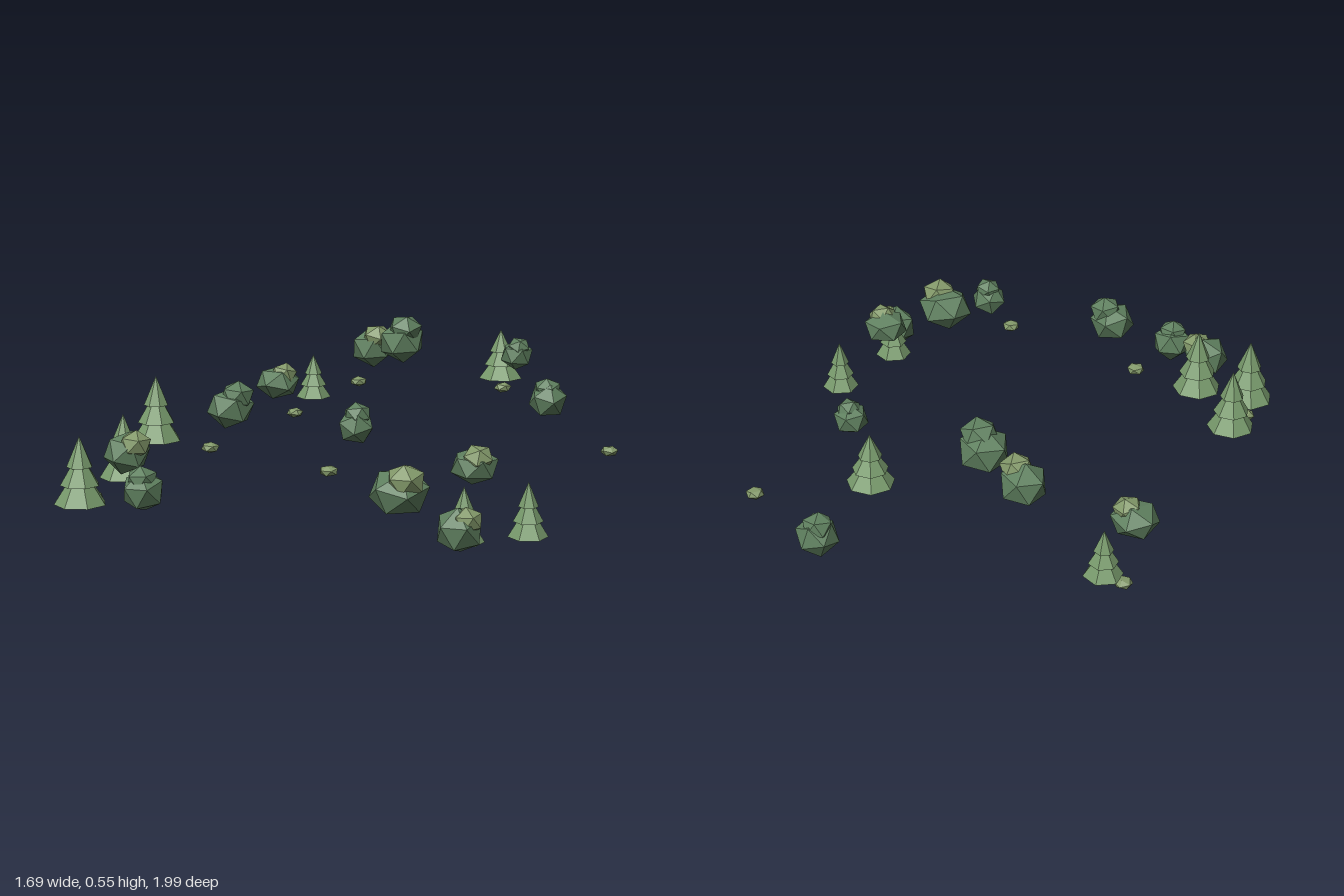
import * as THREE from 'three';

const mat = (color) => new THREE.MeshStandardMaterial({ color, flatShading: true });
const leaf = mat(0x5f805f), lightLeaf = mat(0x83996a), needle = mat(0x789a6c);

// Faceted blob of foliage, tilted by its index then squashed vertically
function blob(name, x, y, z, r, squash, i, material) {
  const geo = new THREE.IcosahedronGeometry(r, 0);
  geo.rotateX(0.55 + 0.37 * (i % 3)).rotateY(i * 1.3).scale(1, squash, 1);
  const mesh = new THREE.Mesh(geo, material);
  mesh.name = name;
  mesh.position.set(x, y, z);
  return mesh;
}

// Conifer crown: three overlapping cones of shrinking radius
function conifer(x, base, z, radius, height, sides) {
  const tree = new THREE.Group();
  tree.name = 'conifer';
  // start, radius and height of each tier as fractions of the whole
  const tiers = [[0, 1, 0.6], [0.28, 0.75, 0.5], [0.55, 0.5, 0.45]];
  tiers.forEach(([start, r, h], i) => {
    const cone = new THREE.Mesh(new THREE.ConeGeometry(radius * r, height * h, sides), needle);
    cone.name = 'coniferTier' + (i + 1);
    cone.position.y = height * (start + h / 2);
    tree.add(cone);
  });
  tree.position.set(x, base, z);
  return tree;
}

// x, base, z, radius, height, sides
const conifers = [
  [-0.77, 0.065, 0.52, 0.09, 0.235, 7],
  [-0.635, 0.215, 0.5, 0.09, 0.235, 7],
  [-0.75, 0.03, 0.81, 0.095, 0.245, 7],
  [0.14, 0.315, -0.715, 0.085, 0.19, 7],
  [-0.71, 0.155, -0.71, 0.07, 0.175, 6],
  [0.67, 0.03, 0.6, 0.07, 0.19, 6],
  [0.775, 0, 0.33, 0.07, 0.192, 6],
];

// Broad crowns with a paler cap: x, y, z, radius, squash, then cap offset and radius
const broadCrowns = [
  [-0.74, 0.25, -0.485, 0.09, 0.75, 0.025, 0.035, -0.005, 0.055],
  [-0.395, 0.4, -0.645, 0.088, 0.93, 0.03, 0.045, 0.015, 0.062],
  [-0.595, 0.22, 0.74, 0.086, 0.93, 0.04, 0.035, 0.005, 0.06],
  [0.5, 0.21, 0.735, 0.108, 0.78, 0.035, 0.045, 0.02, 0.07],
  [0.62, 0.25, 0.43, 0.087, 0.75, 0.02, 0.03, 0.015, 0.058],
  [0.705, 0.1, 0.7, 0.084, 0.98, 0.03, 0.035, 0.002, 0.055],
];

// Tall crowns of two dark blobs, same columns
const tallCrowns = [
  [-0.22, 0.45, -0.57, 0.095, 0.9, 0.02, 0.05, 0.01, 0.07],
  [-0.265, 0.385, 0.575, 0.086, 0.87, 0.025, 0.045, -0.005, 0.062],
  [0.245, 0.2, -0.925, 0.079, 0.95, -0.005, 0.04, -0.005, 0.058],
  [0.29, 0.445, -0.55, 0.064, 0.9, 0.01, 0.03, 0.005, 0.046],
  [-0.395, 0.145, 0.925, 0.079, 0.95, 0, 0.04, 0.005, 0.058],
  [0.245, 0.375, 0.58, 0.067, 0.93, 0.005, 0.04, 0, 0.05],
];

// Low shrubs: x, y, z
const shrubs = [
  [-0.76, 0.095, -0.645], [-0.38, 0.285, -0.51], [0.19, 0.295, -0.635], [0.645, 0.095, -0.63],
  [-0.38, 0.222, 0.535], [0.185, 0.228, 0.66], [-0.78, 0.025, 0.69],
];

export function createModel() {
  const model = new THREE.Group();
  model.name = 'foliage';

  for (const c of conifers) model.add(conifer(...c));

  const addCrowns = (list, name, capMaterial, seed) => list.forEach(([x, y, z, r, s, dx, dy, dz, r2], i) => {
    const crown = new THREE.Group();
    crown.name = name;
    crown.add(blob('crownBody', x, y, z, r, s, i + seed, leaf));
    crown.add(blob('crownTop', x + dx, y + dy, z + dz, r2, 0.85, i + seed + 2, capMaterial));
    model.add(crown);
  });
  addCrowns(broadCrowns, 'broadCrown', lightLeaf, 0);
  addCrowns(tallCrowns, 'tallCrown', leaf, 1);

  shrubs.forEach(([x, y, z], i) => model.add(blob('shrub', x, y, z, 0.035, 0.58, i, lightLeaf)));

  return model;
}
